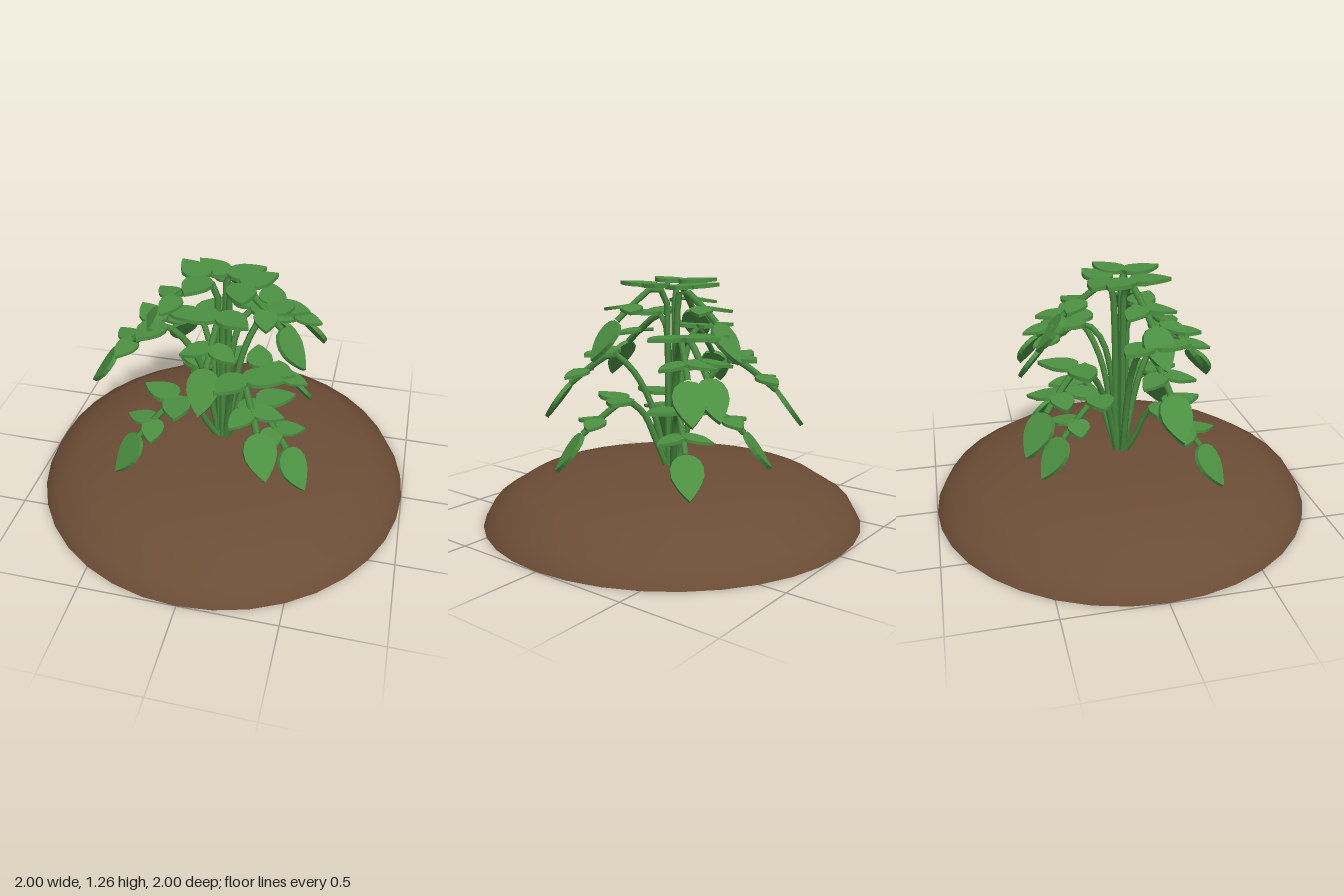
import * as THREE from 'three';

const leafMat = new THREE.MeshStandardMaterial({ color: 0x4c9042, flatShading: true });
leafMat.name = 'leaf green';
const stemMat = new THREE.MeshStandardMaterial({ color: 0x478a3e });
stemMat.name = 'stem green';
const soilMat = new THREE.MeshStandardMaterial({ color: 0x6c4d36 });
soilMat.name = 'soil brown';

// Egg-shaped leaf slab: base at the origin, tip along +y, face towards +z
function makeLeafGeometry() {
  const s = new THREE.Shape();
  s.moveTo(0, 0);
  s.bezierCurveTo(0.055, 0, 0.085, 0.05, 0.07, 0.105);
  s.quadraticCurveTo(0.05, 0.16, 0, 0.21);
  s.quadraticCurveTo(-0.05, 0.16, -0.07, 0.105);
  s.bezierCurveTo(-0.085, 0.05, -0.055, 0, 0, 0);
  const g = new THREE.ExtrudeGeometry(s, { depth: 0.02, bevelEnabled: false, curveSegments: 4 });
  return g.translate(0, 0, -0.01);
}

function addLeaf(parent, geo, name, base, dir, scale) {
  const y = dir.clone().normalize();
  const x = new THREE.Vector3().crossVectors(y, new THREE.Vector3(0, 1, 0)).normalize();
  const z = new THREE.Vector3().crossVectors(x, y);
  const leaf = new THREE.Mesh(geo, leafMat);
  leaf.name = name;
  leaf.quaternion.setFromRotationMatrix(new THREE.Matrix4().makeBasis(x, y, z));
  leaf.position.copy(base);
  leaf.scale.setScalar(scale);
  parent.add(leaf);
}

// One arching branch that ends in a drooping leaf with its tip at (tx, ty, tz)
function makeBranch(geo, [tx, ty, tz]) {
  const branch = new THREE.Group();
  branch.name = 'branch';
  const R = Math.hypot(tx, tz);
  const out = new THREE.Vector3(tx / R, 0, tz / R);
  const side = new THREE.Vector3(-out.z, 0, out.x);
  const at = (r, y) => out.clone().multiplyScalar(r).setY(y);

  const apex = at(R - 0.37, ty + 0.35);
  const mid = at(R - 0.23, ty + 0.265);
  const end = at(R - 0.14, ty + 0.19);
  const curve = new THREE.CatmullRomCurve3([
    at(0.025, 0.25),
    at(Math.max(0.03, (R - 0.48) * 0.6), ty + 0.12),
    at(Math.max(0.04, R - 0.46), ty + 0.29),
    apex, mid, end,
  ]);
  const stem = new THREE.Mesh(new THREE.TubeGeometry(curve, 16, 0.017, 6), stemMat);
  stem.name = 'stem';
  branch.add(stem);

  addLeaf(branch, geo, 'tipLeaf', end, at(R, ty).sub(end), 1.12);
  for (const s of [-1, 1]) {
    const spread = side.clone().multiplyScalar(s * 0.8).addScaledVector(out, 0.5);
    addLeaf(branch, geo, 'upperLeaf', apex.clone().setY(apex.y + 0.012), spread.clone().setY(0.03), 0.98);
    addLeaf(branch, geo, 'lowerLeaf', mid, spread.clone().setY(-0.15), 0.78);
  }
  return branch;
}

export function createModel() {
  const model = new THREE.Group();
  model.name = 'plantOnMound';

  // Soil mound with smooth shading and a flat underside
  const profile = [[1, 0], [0.95, 0.09], [0.8, 0.185], [0.54, 0.255], [0.25, 0.27], [0, 0.272]];
  const mound = new THREE.Mesh(
    new THREE.LatheGeometry(profile.map(([r, y]) => new THREE.Vector2(r, y)), 36), soilMat);
  mound.name = 'soilMound';
  const underside = new THREE.Mesh(new THREE.CircleGeometry(1, 36).rotateX(Math.PI / 2), soilMat);
  underside.name = 'moundUnderside';
  model.add(mound, underside);

  // Branches, given by the tip of the end leaf, from the lowest tier up
  const tips = [
    [-0.48, 0.25, 0.42], [0.5, 0.28, 0.37], [-0.25, 0.27, -0.46], [0.42, 0.26, -0.43],
    [-0.67, 0.62, 0.15], [0.34, 0.51, 0.6], [0.47, 0.63, -0.48],
    [-0.41, 0.49, -0.55], [0.28, 0.62, -0.5],
    [-0.02, 0.72, 0.45], [0.44, 0.87, 0.16], [-0.44, 0.88, 0.13], [0.02, 0.86, -0.43],
  ];
  const leafGeometry = makeLeafGeometry();
  const plant = new THREE.Group();
  plant.name = 'plant';
  for (const tip of tips) plant.add(makeBranch(leafGeometry, tip));
  model.add(plant);
  return model;
}
